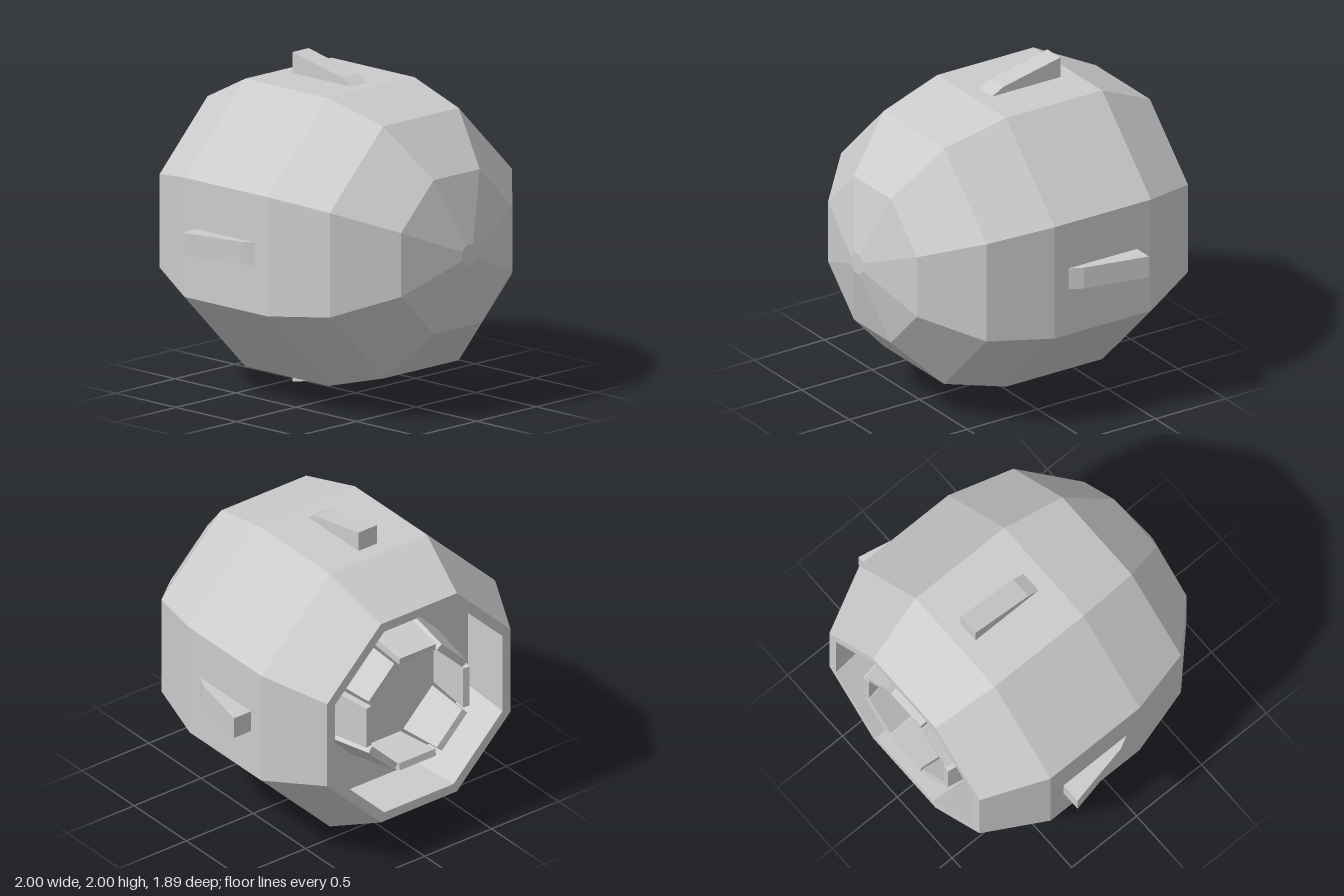
import * as THREE from 'three';

export function createModel() {
  const model = new THREE.Group();
  const material = new THREE.MeshStandardMaterial({ color: 0xcccccc, flatShading: true });

  // Repeats one part evenly around the long (z) axis
  const ring = (name, geometry, count) => {
    const group = new THREE.Group();
    group.name = name + 's';
    for (let i = 0; i < count; i++) {
      const mesh = new THREE.Mesh(geometry, material);
      mesh.name = name;
      mesh.rotation.z = (i * Math.PI * 2) / count;
      group.add(mesh);
    }
    group.position.y = 1;
    model.add(group);
  };

  // Octagonal hull: [distance from axis to flat, z], from the recessed rear wall to the nose
  const profile = [
    [0, -0.57], [0.66, -0.57], [0.625, -0.945], [0.685, -0.945], [0.873, -0.555],
    [0.873, 0.13], [0.765, 0.54], [0.467, 0.835], [0.063, 0.945], [0, 0.945],
  ].map(([flat, z]) => new THREE.Vector2(flat / Math.cos(Math.PI / 8), z));
  const hull = new THREE.Mesh(
    new THREE.LatheGeometry(profile, 8, Math.PI / 8).rotateX(Math.PI / 2), material);
  hull.name = 'hull';
  hull.position.y = 1;
  model.add(hull);

  // Wedge fins on the top, bottom and both sides
  const side = new THREE.Shape([
    [-0.04, 0.86], [0.455, 0.86], [0.455, 1], [0.05, 0.915], [-0.03, 0.873],
  ].map(([back, y]) => new THREE.Vector2(back, y)));
  const fin = new THREE.ExtrudeGeometry(side, { depth: 0.136, bevelEnabled: false });
  fin.translate(0, 0, -0.068).rotateY(Math.PI / 2);
  ring('fin', fin, 4);

  // Nozzle petals, narrowing and leaning inwards towards the rear
  const petal = new THREE.BoxGeometry(0.31, 0.045, 0.38);
  const p = petal.attributes.position;
  for (let i = 0; i < p.count; i++) {
    if (p.getZ(i) < 0) p.setX(i, p.getX(i) * 0.87);
  }
  petal.rotateX(-0.165).translate(0, 0.395, -0.745);
  ring('nozzlePetal', petal, 8);

  return model;
}
